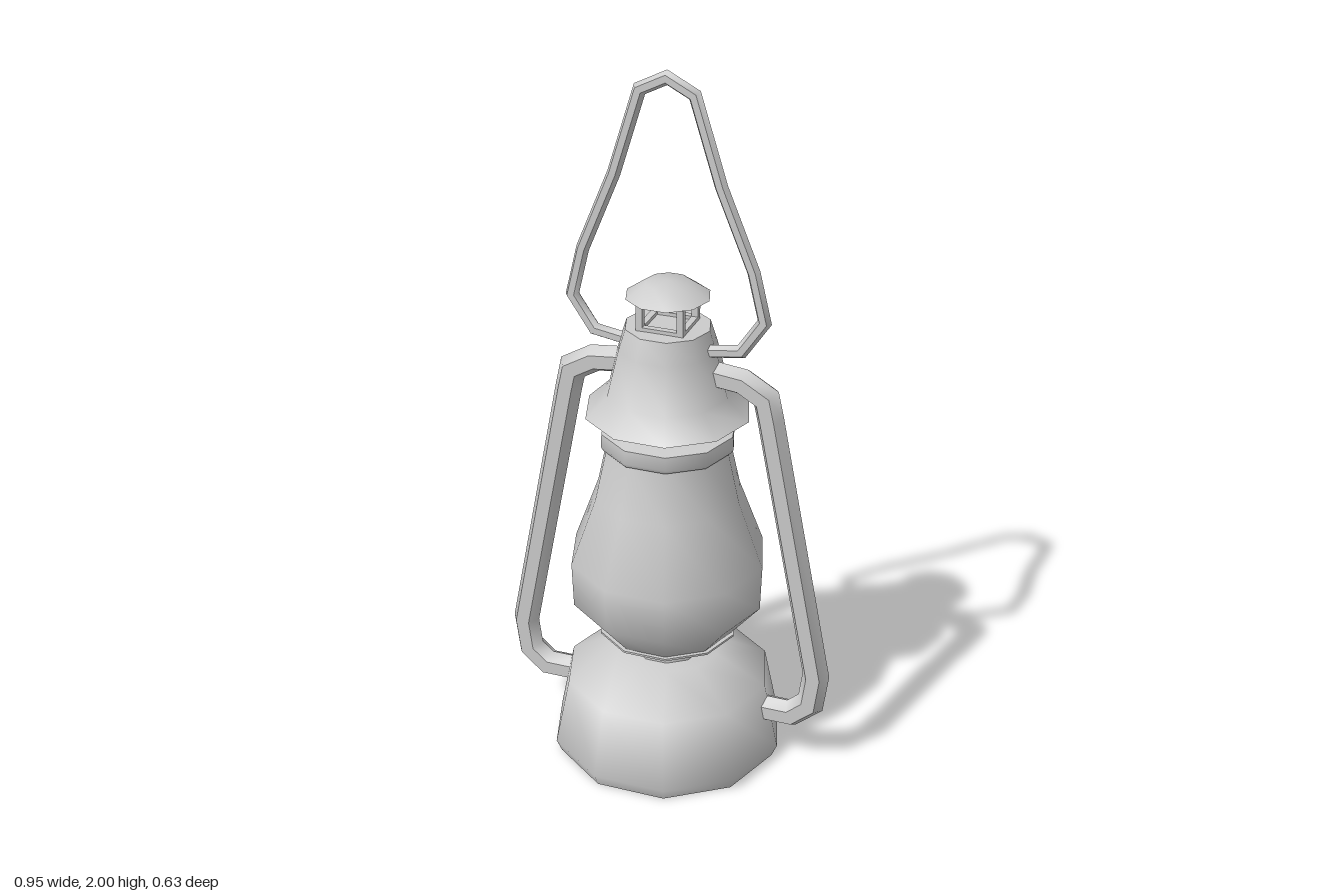
import * as THREE from 'three';
import { toCreasedNormals } from 'three/addons/utils/BufferGeometryUtils.js';

const material = new THREE.MeshStandardMaterial({ color: 0xcccccc, side: THREE.DoubleSide });

function addMesh(group, name, geometry, crease = 1) {
  const mesh = new THREE.Mesh(toCreasedNormals(geometry, crease), material);
  mesh.name = name;
  group.add(mesh);
  return mesh;
}

// Ten-sided turned part with corners on the x axis; profile is [radius, y] from bottom to top
function turned(profile) {
  const points = profile.map(([r, y]) => new THREE.Vector2(r, y));
  return new THREE.LatheGeometry(points, 10, Math.PI / 2);
}

// Mitred six-sided tube along a flat path of [x, y] points, with capped ends
function bentTube(path, radius, z) {
  const sides = 6, positions = [], index = [];
  const pts = path.map(([x, y]) => new THREE.Vector2(x, y));
  const last = pts.length - 1;
  pts.forEach((p, i) => {
    const before = p.clone().sub(pts[Math.max(i - 1, 0)]).normalize();
    const after = pts[Math.min(i + 1, last)].clone().sub(p).normalize();
    const dir = before.clone().add(after).normalize();
    const miter = 1 / dir.dot(i < last ? after : before);
    for (let j = 0; j < sides; j++) {
      const a = (j / sides) * Math.PI * 2;
      const side = Math.cos(a) * radius * miter;
      positions.push(p.x - dir.y * side, p.y + dir.x * side, z + Math.sin(a) * radius);
      if (i < last) {
        const k = (j + 1) % sides, a0 = i * sides + j, a1 = i * sides + k;
        index.push(a0, a1, a0 + sides, a1, a1 + sides, a0 + sides);
      }
    }
  });
  for (let j = 1; j < sides - 1; j++) {
    const e = last * sides;
    index.push(0, j + 1, j, e, e + j, e + j + 1);
  }
  const geometry = new THREE.BufferGeometry();
  geometry.setAttribute('position', new THREE.Float32BufferAttribute(positions, 3));
  geometry.setIndex(index);
  return geometry;
}

export function createModel() {
  const lantern = new THREE.Group();
  lantern.name = 'lantern';

  // Fuel tank, burner and glass
  addMesh(lantern, 'fuelTank', turned([
    [0, 0], [0.315, 0], [0.33, 0.035], [0.29, 0.23], [0.145, 0.305], [0, 0.305]]));
  addMesh(lantern, 'burner', turned([
    [0.1, 0.3], [0.1, 0.345], [0.195, 0.374], [0.195, 0.38], [0, 0.38]]), 0.8);
  addMesh(lantern, 'glassGlobe', turned([
    [0, 0.37], [0.175, 0.37], [0.27, 0.48], [0.275, 0.61], [0.205, 0.8], [0.17, 0.96]]));

  // Collar and hood
  addMesh(lantern, 'collar', turned([
    [0.165, 0.95], [0.18, 0.95], [0.187, 0.962], [0.185, 1], [0.135, 1.008], [0.135, 1.07]]));
  addMesh(lantern, 'hood', turned([
    [0.13, 1.065], [0.228, 1.052], [0.168, 1.11], [0.136, 1.24], [0.117, 1.3], [0, 1.302]]));

  // Open vent: square frame of posts and rails under a domed cap
  const vent = new THREE.Group();
  vent.name = 'vent';
  for (const s of [-1, 1]) {
    for (const t of [-1, 1]) {
      const post = addMesh(vent, 'ventPost', new THREE.BoxGeometry(0.018, 0.09, 0.018));
      post.position.set(s * 0.057, 1.342, t * 0.057);
    }
    for (const y of [1.304, 1.378]) {
      const railX = addMesh(vent, 'ventRail', new THREE.BoxGeometry(0.13, 0.014, 0.018));
      railX.position.set(0, y, s * 0.057);
      const railZ = addMesh(vent, 'ventRail', new THREE.BoxGeometry(0.018, 0.014, 0.13));
      railZ.position.set(s * 0.057, y, 0);
    }
  }
  addMesh(vent, 'ventCap', turned([
    [0, 1.376], [0.095, 1.376], [0.115, 1.385], [0.062, 1.422], [0, 1.427]]));
  lantern.add(vent);

  // Side air tubes
  const armPath = [[0.1, 1.18], [0.21, 1.168], [0.275, 1.13], [0.288, 1.07],
    [0.437, 0.3], [0.424, 0.205], [0.37, 0.159], [0.27, 0.159]];
  for (const s of [-1, 1]) {
    const path = armPath.map(([x, y]) => [s * x, y]);
    addMesh(lantern, s > 0 ? 'leftAirTube' : 'rightAirTube', bentTube(path, 0.038, -0.002));
  }

  // Wire carrying handle
  const half = [[0.11, 1.247], [0.206, 1.262], [0.268, 1.355], [0.236, 1.49],
    [0.146, 1.71], [0.074, 1.943]];
  const handlePath = [...half, [0, 1.981], ...half.map(([x, y]) => [-x, y]).reverse()];
  addMesh(lantern, 'handle', bentTube(handlePath.map(([x, y]) => [x + 0.003, y]), 0.018, 0.014));

  return lantern;
}
